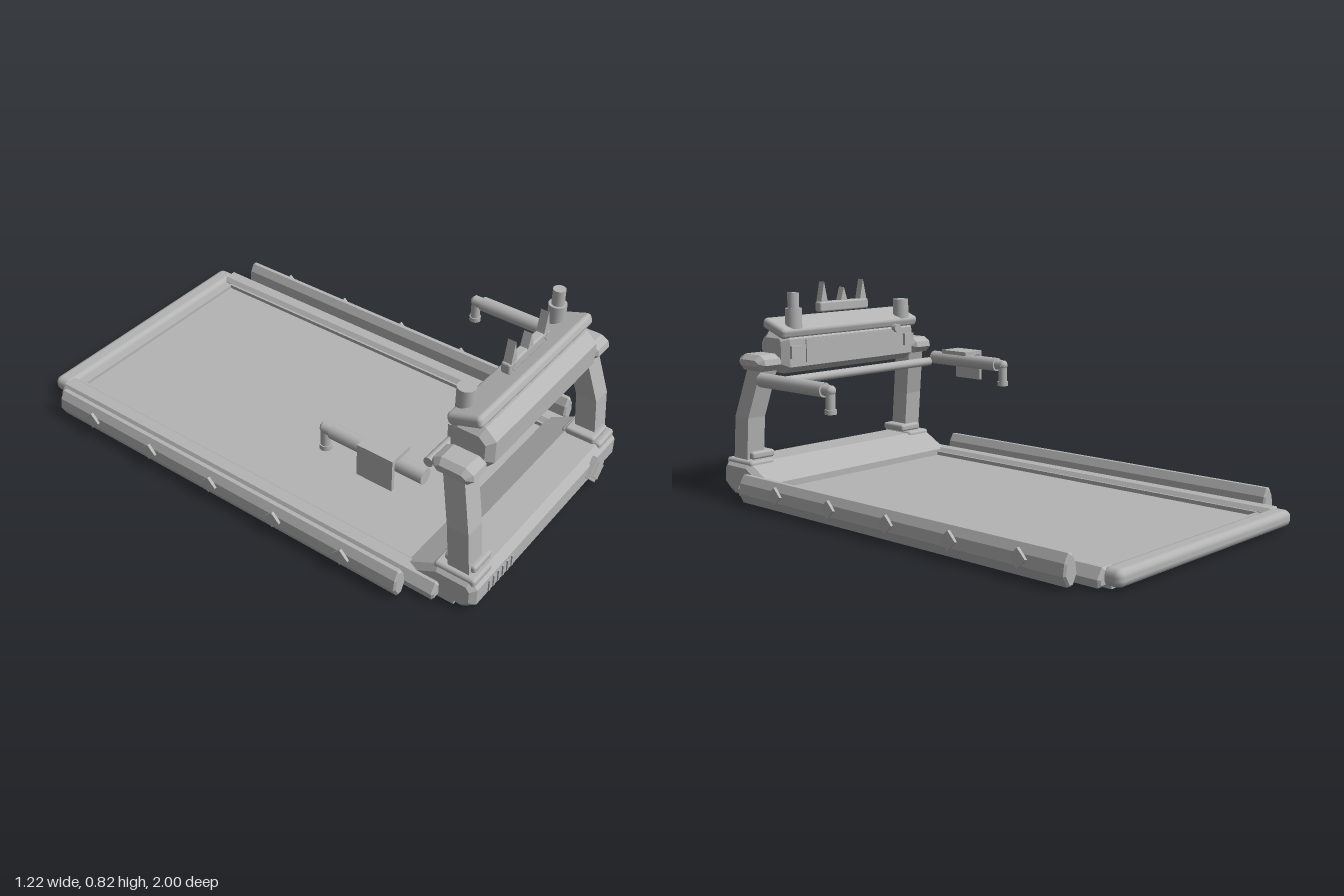
import * as THREE from 'three';
import { RoundedBoxGeometry } from 'three/addons/geometries/RoundedBoxGeometry.js';

const grey = new THREE.MeshStandardMaterial({ color: 0xb4b4b4 });
grey.name = 'plain grey';

export function createModel() {
  const model = new THREE.Group();
  model.name = 'treadmill';

  const add = (name, geo, x = 0, y = 0, z = 0) => {
    const mesh = new THREE.Mesh(geo, grey);
    mesh.name = name;
    mesh.position.set(x, y, z);
    model.add(mesh);
    return mesh;
  };
  const box = (name, w, h, d, x, y, z) => add(name, new THREE.BoxGeometry(w, h, d), x, y, z);
  const rounded = (name, w, h, d, r, x, y, z) => add(name, new RoundedBoxGeometry(w, h, d, 2, r), x, y, z);
  const tube = (name, r, len, axis, x, y, z, sides = 20) => {
    const geo = new THREE.CylinderGeometry(r, r, len, sides);
    if (axis === 'x') geo.rotateZ(Math.PI / 2);
    if (axis === 'z') geo.rotateX(Math.PI / 2);
    return add(name, geo, x, y, z);
  };
  // Extrudes an outline with chamfered ends, centred on its length
  const prism = (points, length, bevel) => {
    const shape = new THREE.Shape(points.map(p => new THREE.Vector2(...p)));
    const geo = new THREE.ExtrudeGeometry(shape, {
      depth: length - 2 * bevel, bevelEnabled: bevel > 0, bevelSegments: 1,
      bevelSize: bevel, bevelThickness: bevel, bevelOffset: -bevel,
    });
    return geo.translate(0, 0, bevel - length / 2);
  };
  // Same, with a [z, y] outline running along x
  const crossPrism = (points, length, bevel) => prism(points, length, bevel).rotateY(-Math.PI / 2);
  const diamond = (r, depth) => prism([[0, -r], [r, 0], [0, r], [-r, 0]], depth, 0);

  // Running deck and belt
  box('deck', 1.0, 0.025, 1.86, 0, 0.0175, -0.03);
  box('belt', 0.89, 0.01, 1.7, 0, 0.035, -0.04);
  rounded('rearRail', 1.02, 0.06, 0.08, 0.025, 0, 0.04, -0.96);
  box('rearInnerRail', 0.92, 0.035, 0.035, 0, 0.035, -0.905);

  // Front motor housing
  add('motorHousing', crossPrism([
    [0.7, 0.01], [0.93, 0], [0.975, 0.035], [0.975, 0.1],
    [0.95, 0.13], [0.82, 0.13], [0.7, 0.065],
  ], 1.0, 0.02));
  for (let i = 0; i < 6; i++) {
    box('vent', 0.01, 0.046, 0.012, -0.405 + i * 0.029, 0.065, 0.974);
  }
  add('badgeFrame', diamond(0.06, 0.022), 0.315, 0.068, 0.98);
  add('badge', diamond(0.042, 0.009), 0.315, 0.068, 0.995);

  for (const s of [-1, 1]) {
    // Foot rails beside the belt
    const rail = [[-0.04, 0.008], [0.04, 0.008], [0.045, 0.035], [0.022, 0.07], [-0.025, 0.07], [-0.04, 0.055]];
    const railPoints = s > 0 ? rail : rail.map(([x, y]) => [-x, y]).reverse();
    add('footRail', prism(railPoints, 1.78, 0.008), s * 0.49, 0, -0.05);
    box('railTrim', 0.012, 0.05, 1.6, s * 0.447, 0.03, -0.09);

    // Outer side bars with diamond studs
    add('sideBar', prism([
      [-0.012, 0.008], [0.012, 0.008], [0.032, 0.045], [0.026, 0.085],
      [0.008, 0.115], [-0.008, 0.115], [-0.026, 0.085], [-0.032, 0.045],
    ], 1.6, 0.007), s * 0.574, 0, -0.065);
    for (let i = 0; i < 5; i++) {
      add('stud', diamond(0.034, 0.012).rotateY(Math.PI / 2), s * 0.606, 0.07, 0.51 - i * 0.2975);
    }

    // Stepped feet and bent uprights
    rounded('lowerFoot', 0.115, 0.036, 0.16, 0.012, s * 0.43, 0.12, 0.885);
    rounded('upperFoot', 0.108, 0.03, 0.12, 0.01, s * 0.405, 0.153, 0.888);
    const rows = [[0.13, 0.43, 0.893], [0.305, 0.43, 0.878], [0.51, 0.398, 0.828]];
    const leg = new THREE.BoxGeometry(0.082, 2, 0.082, 1, 2, 1);
    const pos = leg.attributes.position;
    for (let i = 0; i < pos.count; i++) {
      const [y, x, z] = rows[Math.round(pos.getY(i)) + 1];
      pos.setXYZ(i, pos.getX(i) + s * x, y, pos.getZ(i) + z);
    }
    const flatLeg = leg.toNonIndexed();
    flatLeg.computeVertexNormals();
    add('upright', flatLeg);
    add('uprightCap', crossPrism([
      [-0.055, -0.03], [0.055, -0.03], [0.08, -0.005], [0.075, 0.018],
      [0.045, 0.034], [-0.045, 0.034], [-0.075, 0.018], [-0.08, -0.005],
    ], 0.115, 0.02), s * 0.41, 0.522, 0.83);

    // Handles with a turned-down end
    tube('handle', 0.028, 0.37, 'z', s * 0.47, 0.466, 0.56);
    tube('handleNeck', 0.021, 0.045, 'z', s * 0.47, 0.466, 0.36);
    add('handleElbow', new THREE.SphereGeometry(0.021, 16, 10), s * 0.47, 0.466, 0.345);
    tube('handleDrop', 0.018, 0.075, 'y', s * 0.47, 0.43, 0.345);
    tube('handleTip', 0.022, 0.018, 'y', s * 0.47, 0.389, 0.345);
  }

  // Bracket hooked over the right handle
  box('bracketTop', 0.1, 0.016, 0.14, -0.47, 0.502, 0.58);
  box('bracketSide', 0.014, 0.125, 0.14, -0.513, 0.4475, 0.58);

  // Crossbar and console
  tube('crossbar', 0.018, 0.8, 'x', 0, 0.457, 0.708);
  add('console', crossPrism([
    [0.745, 0.5], [0.785, 0.473], [0.875, 0.473], [0.912, 0.515],
    [0.912, 0.6], [0.87, 0.638], [0.77, 0.638], [0.745, 0.61],
  ], 0.71, 0.025));
  box('screen', 0.5, 0.09, 0.009, 0, 0.56, 0.744);
  for (const s of [-1, 1]) box('screenClip', 0.05, 0.05, 0.02, s * 0.305, 0.56, 0.742);
  tube('knob', 0.018, 0.025, 'z', -0.235, 0.612, 0.738);
  rounded('consoleLid', 0.73, 0.044, 0.135, 0.016, 0, 0.652, 0.807).rotation.x = -0.33;

  // Posts on the lid
  for (const s of [-1, 1]) tube('post', 0.033, 0.08, 'y', s * 0.29, 0.69, 0.767);
  tube('postTop', 0.023, 0.07, 'y', 0.29, 0.755, 0.767);

  // Spiked crest
  rounded('crestBar', 0.26, 0.042, 0.036, 0.008, 0, 0.721, 0.81);
  for (const [x, h] of [[-0.105, 0.083], [0, 0.056], [0.105, 0.083]]) {
    add('spike', prism([[-0.018, 0], [0.018, 0], [0, h]], 0.03, 0), x, 0.739, 0.812);
    if (x) add('crestStud', diamond(0.014, 0.012), x, 0.724, 0.828);
  }

  return model;
}
